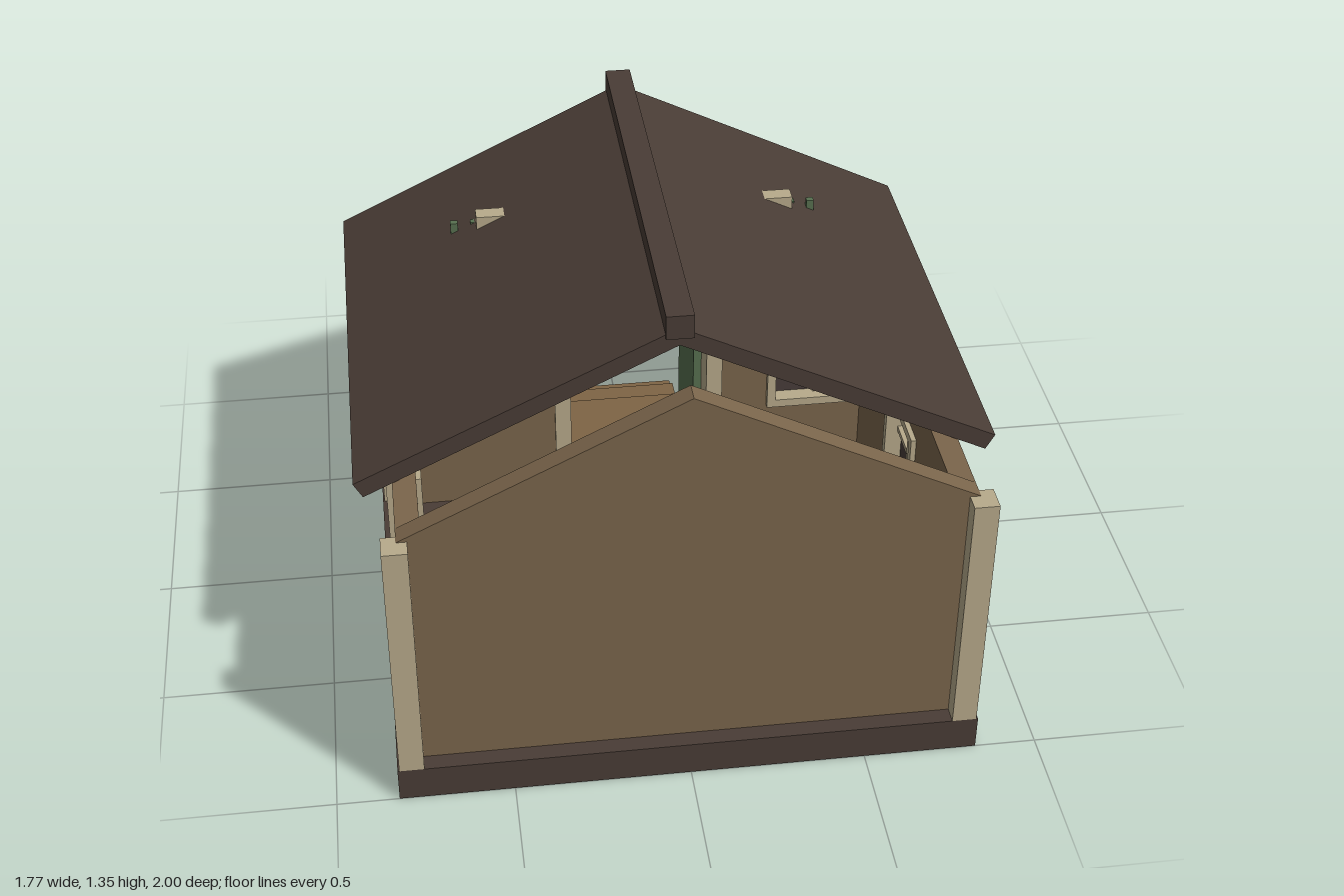
import * as THREE from 'three';

const material = (name, hex, side = THREE.FrontSide) => {
  const m = new THREE.MeshStandardMaterial({ color: hex, side });
  m.name = name;
  return m;
};

export function createModel() {
  const brown = material('wallBrown', 0x7b664c);
  const plank = material('plankBrown', 0x7f6445);
  const dark = material('darkTimber', 0x4a3d36);
  const cream = material('creamTrim', 0xb8ab8c);
  const green = material('greenPaint', 0x587050);
  const glass = material('darkGlass', 0x483d3a);

  const root = new THREE.Group();
  root.name = 'cabin';

  const group = (name, parent = root) => {
    const g = new THREE.Group();
    g.name = name;
    parent.add(g);
    return g;
  };
  // Box given by its extents on each axis
  const box = (name, mat, [x0, x1], [y0, y1], [z0, z1], parent = root) => {
    const m = new THREE.Mesh(new THREE.BoxGeometry(x1 - x0, y1 - y0, z1 - z0), mat);
    m.position.set((x0 + x1) / 2, (y0 + y1) / 2, (z0 + z1) / 2);
    m.name = name;
    parent.add(m);
    return m;
  };
  const rectPath = (x0, x1, y0, y1) => new THREE.Path([
    new THREE.Vector2(x0, y0), new THREE.Vector2(x0, y1),
    new THREE.Vector2(x1, y1), new THREE.Vector2(x1, y0)]);
  const extrude = (name, mat, points, depth, holes = [], parent = root) => {
    const shape = new THREE.Shape(points.map(p => new THREE.Vector2(...p)));
    shape.holes.push(...holes);
    const m = new THREE.Mesh(new THREE.ExtrudeGeometry(shape, { depth, bevelEnabled: false }), mat);
    m.name = name;
    parent.add(m);
    return m;
  };

  // Framed four-pane window facing +z, passing through the wall
  const window4 = (name, w, h) => {
    const g = group(name);
    const b = 0.027, x = w / 2, y = h / 2, d = [-0.08, 0.02];
    for (const s of [-1, 1]) {
      box('windowJamb', cream, s < 0 ? [-x, b - x] : [x - b, x], [-y, y], d, g);
      box('windowRail', cream, [b - x, x - b], s < 0 ? [-y, b - y] : [y - b, y], d, g);
    }
    box('muntinVertical', cream, [-0.008, 0.008], [b - y, y - b], [-0.045, 0.01], g);
    box('muntinHorizontal', cream, [b - x, x - b], [-0.008, 0.008], [-0.044, 0.009], g);
    box('pane', glass, [b - x, x - b], [b - y, y - b], [-0.03, -0.022], g);
    return g;
  };

  // Foundation and walls
  box('foundation', dark, [-0.825, 0.825], [0, 0.105], [-0.3, 1]);
  const gable = [[-0.78, 0.105], [0.78, 0.105], [0.78, 0.875], [0, 1.265], [-0.78, 0.875]];
  extrude('frontWall', brown, gable, 0.06).position.z = 0.89;
  const porchWall = extrude('porchWall', brown, gable, 0.06, [
    rectPath(-0.23, 0.23, 0.11, 0.76),
    rectPath(-0.71, -0.43, 0.42, 0.71),
    rectPath(0.43, 0.71, 0.42, 0.71)]);
  porchWall.position.z = -0.26;

  for (const s of [-1, 1]) {
    const side = extrude('sideWall', brown,
      [[-0.89, 0.105], [0.2, 0.105], [0.2, 0.875], [-0.89, 0.875]], 0.065,
      [rectPath(-0.49, -0.2, 0.415, 0.72)]);
    side.rotation.y = Math.PI / 2;
    side.position.x = s > 0 ? 0.715 : -0.78;

    const sideWindow = window4('sideWindow', 0.32, 0.34);
    sideWindow.position.set(s * 0.78, 0.568, 0.345);
    sideWindow.rotation.y = s * Math.PI / 2;

    const porchWindow = window4('porchWindow', 0.32, 0.34);
    porchWindow.position.set(s * 0.57, 0.565, -0.26);
    porchWindow.rotation.y = Math.PI;

    const span = (a, b) => (s > 0 ? [a, b] : [-b, -a]);
    box('frontCornerPost', cream, span(0.75, 0.82), [0.105, 0.875], [0.925, 1]);
    box('backCornerPost', cream, span(0.75, 0.82), [0.105, 0.85], [-0.3, -0.225]);
    box('doorJamb', cream, span(0.215, 0.265), [0.105, 0.77], [-0.3, -0.19]);
    box('wallBatten', dark, span(0.265, 0.75), [0.29, 0.315], [-0.275, -0.255]);

    // Porch posts, outer and inner
    for (const x of [0.745, 0.265])
      box('porchPost', cream, span(x - 0.025, x + 0.025), [0, 0.74], [-0.695, -0.645]);
  }
  box('doorLintel', cream, [-0.265, 0.265], [0.74, 0.79], [-0.3, -0.19]);

  // Open door with strap hinges
  const door = group('door');
  box('doorLeaf', green, [0.19, 0.22], [0.11, 0.765], [-0.625, -0.3], door);
  for (const y of [0.635, 0.24])
    box('strapHinge', plank, [0.183, 0.228], [y - 0.01, y + 0.01], [-0.515, -0.295], door);

  // Main roof and ridge cap
  extrude('mainRoof', dark, [[0, 1.31], [-0.885, 0.88], [-0.86, 0.835], [0, 1.256],
    [0.86, 0.835], [0.885, 0.88]], 1.385).position.z = -0.692;
  box('ridgeCap', dark, [-0.038, 0.038], [1.28, 1.352], [-0.705, 0.7]);

  // Gable louvre above the porch
  const louvre = group('gableLouvre');
  box('louvreBoard', cream, [-0.48, 0.48], [0.88, 1.118], [-0.31, -0.26], louvre);
  for (let i = -9; i <= 9; i++) {
    const x = i * 0.0606;
    box('louvreSlat', green, [x - 0.011, x + 0.011], [0.9, 1.075], [-0.325, -0.305], louvre);
  }

  // Porch deck, beam, lean-to roof and steps
  box('porchDeck', plank, [-0.785, 0.785], [0.075, 0.105], [-0.7, -0.3]);
  box('porchBeam', cream, [-0.775, 0.775], [0.73, 0.772], [-0.695, -0.643]);
  const lean = box('porchRoof', dark, [-0.82, 0.82], [0.792, 0.818], [-0.765, -0.285]);
  lean.rotation.x = -0.135;
  box('upperStep', plank, [-0.19, 0.19], [0.02, 0.1], [-0.77, -0.7]);
  box('lowerStep', plank, [-0.19, 0.19], [0.005, 0.055], [-0.852, -0.765]);

  // Freestanding notice board
  const board = group('noticeBoard');
  for (const x of [-0.385, 0.385])
    box('boardPost', dark, [x - 0.025, x + 0.025], [0, 0.665], [-0.985, -0.935], board);
  box('boardCap', dark, [-0.42, 0.42], [0.655, 0.692], [-0.992, -0.925], board);
  box('boardBacking', plank, [-0.36, 0.36], [0.18, 0.62], [-0.985, -0.955], board);
  box('boardRail', dark, [-0.37, 0.37], [0.378, 0.428], [-0.995, -0.95], board);
  const rows = [[[0.445, 0.605], [green, green, brown]], [[0.2, 0.362], [brown, green, green]]];
  for (const [ys, mats] of rows)
    mats.forEach((mat, i) => {
      const x = (i - 1) * 0.236;
      box('noticePanel', mat, [x - 0.11, x + 0.11], ys, [-1, -0.982], board);
    });

  return root;
}
